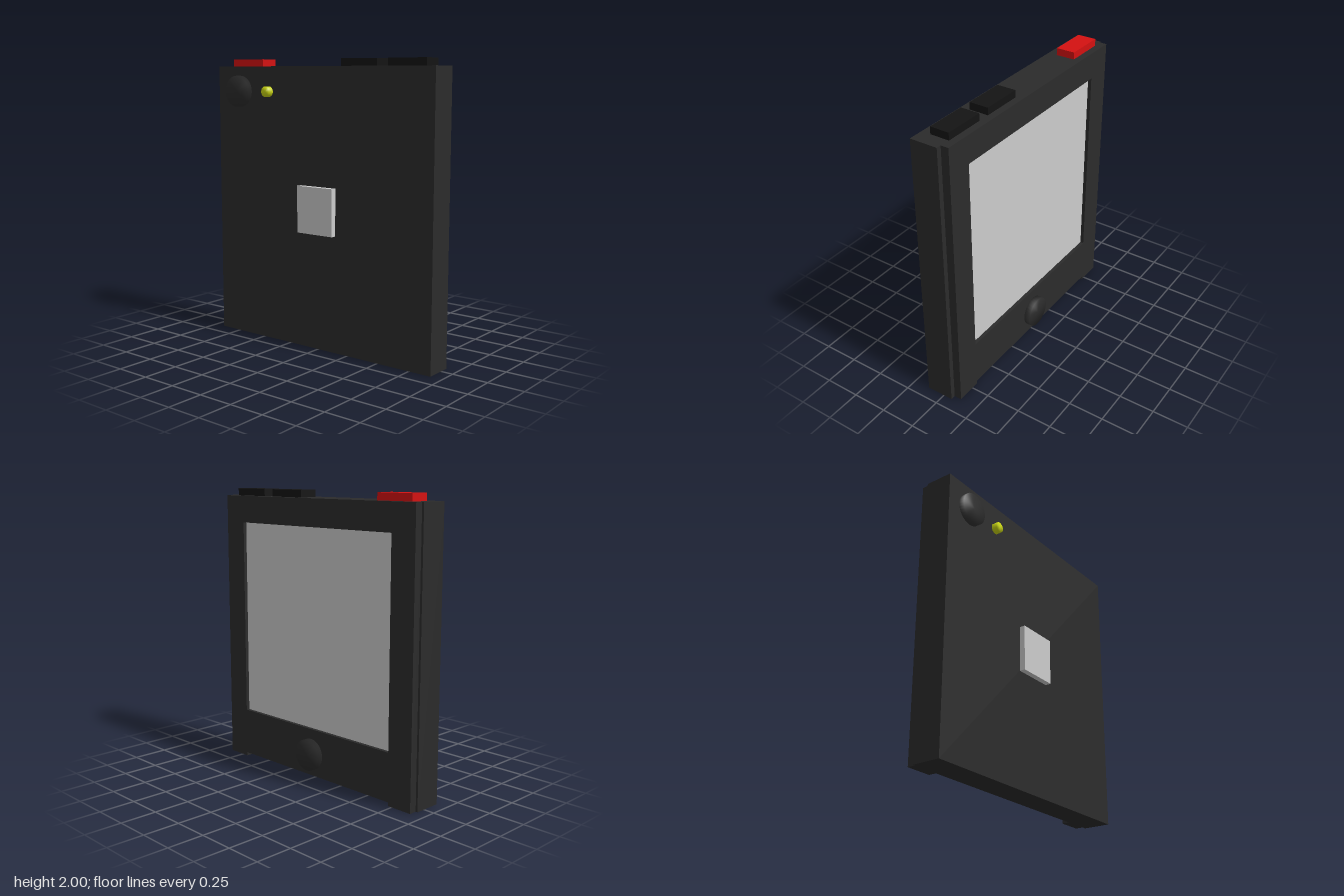
import * as THREE from 'three';
import { mergeVertices } from 'three/addons/utils/BufferGeometryUtils.js';

const mat = (color) => new THREE.MeshStandardMaterial({ color });

export function createModel() {
  const model = new THREE.Group();
  const casing = mat(0x2b2b2b), black = mat(0x141414), red = mat(0xd41111);
  const yellow = mat(0xc8d412), grey = mat(0xcccccc);

  const add = (name, geometry, material) => {
    const mesh = new THREE.Mesh(geometry, material);
    mesh.name = name;
    model.add(mesh);
    return mesh;
  };

  // Box given by its limits on each axis
  const box = (name, material, [x0, x1], [y0, y1], [z0, z1]) =>
    add(name, new THREE.BoxGeometry(x1 - x0, y1 - y0, z1 - z0), material)
      .position.set((x0 + x1) / 2, (y0 + y1) / 2, (z0 + z1) / 2);

  // Disc lying along x, with normals blended over the rim
  const disc = (name, material, radius, [x0, x1], y, z) => {
    let g = new THREE.CylinderGeometry(radius, radius, x1 - x0, 32);
    g.deleteAttribute('uv');
    g.deleteAttribute('normal');
    g = mergeVertices(g);
    g.computeVertexNormals();
    g.rotateZ(-Math.PI / 2);
    add(name, g, material).position.set((x0 + x1) / 2, y, z);
  };

  // Main slab
  box('backCasing', casing, [-0.13, 0.065], [0, 1.95], [-0.92, 0.915]);

  // Front bezel: window for the screen and a shallow notch along the bottom
  const outline = new THREE.Shape([
    [-0.88, 0], [-0.7, 0], [-0.7, 0.025], [0.72, 0.025], [0.72, 0],
    [0.905, 0], [0.905, 1.95], [-0.88, 1.95],
  ].map(([u, v]) => new THREE.Vector2(u, v)));
  outline.holes.push(new THREE.Path([
    [-0.7, 0.36], [-0.7, 1.76], [0.715, 1.76], [0.715, 0.36],
  ].map(([u, v]) => new THREE.Vector2(u, v))));
  const bezel = new THREE.ExtrudeGeometry(outline, { depth: 0.055, bevelEnabled: false });
  bezel.rotateY(Math.PI / 2);
  add('frontBezel', bezel, casing).position.x = 0.065;

  // Recessed screen and round button
  box('screen', grey, [0.065, 0.095], [0.36, 1.76], [-0.715, 0.7]);
  disc('homeButton', casing, 0.11, [0.11, 0.165], 0.18, 0);

  // Keys on the top edge
  const keyX = [-0.065, 0.07], keyY = [1.94, 2];
  box('powerKey', red, keyX, keyY, [-0.835, -0.55]);
  box('volumeKeyUpper', black, keyX, keyY, [0.145, 0.435]);
  box('volumeKeyLower', black, keyX, keyY, [0.52, 0.81]);

  // Camera, lamp and plate on the rear
  disc('cameraLens', casing, 0.11, [-0.17, -0.12], 1.775, -0.71);
  disc('flashLamp', yellow, 0.037, [-0.17, -0.12], 1.775, -0.437);
  box('rearPlate', grey, [-0.17, -0.12], [0.815, 1.14], [-0.15, 0.15]);

  return model;
}
